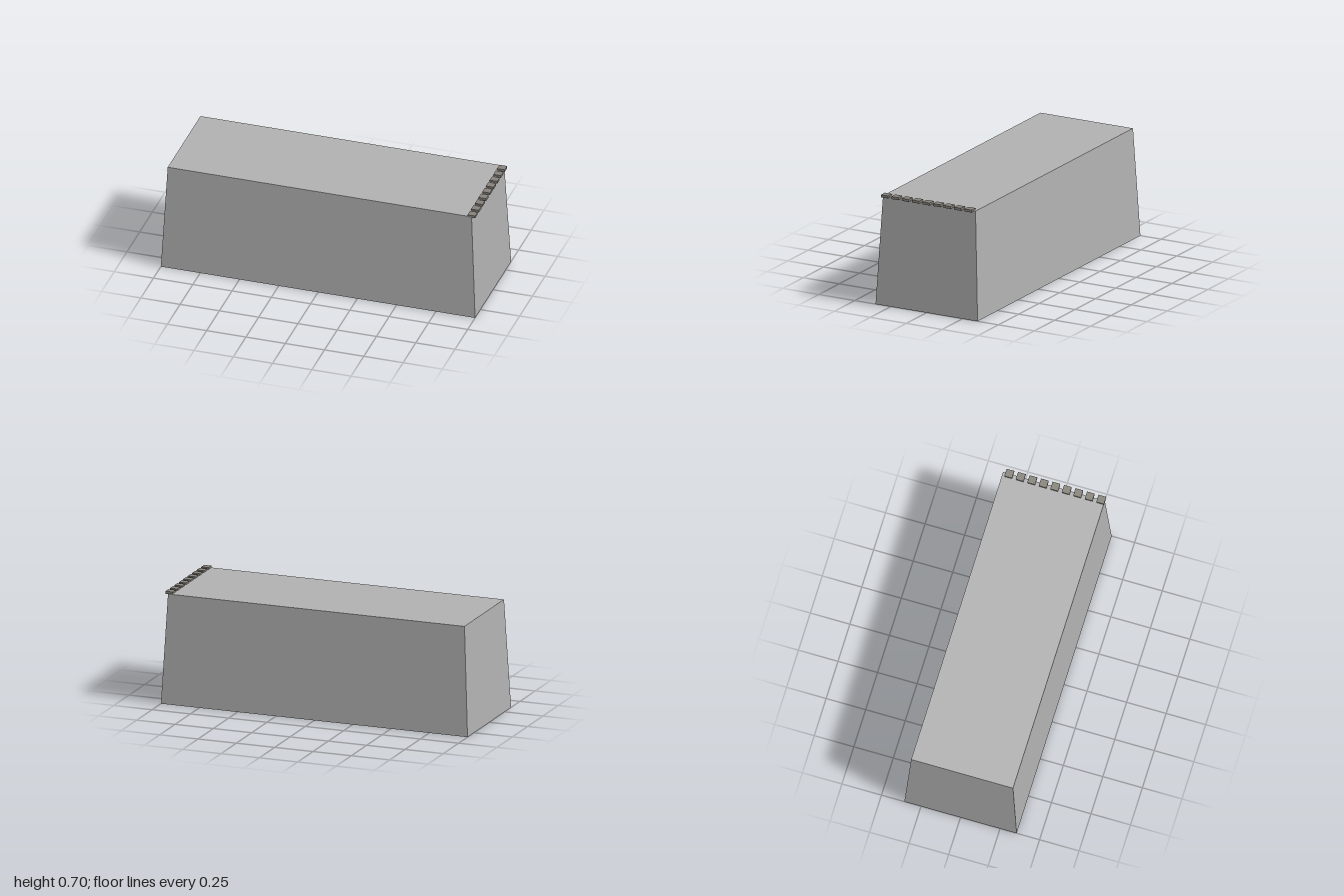
import * as THREE from 'three';

const HEIGHT = 0.685;

// Tapered box without a floor
function taperedShell() {
  const geometry = new THREE.BoxGeometry(2, HEIGHT, 0.71);
  const index = Array.from(geometry.index.array);
  index.splice(18, 6); // remove the bottom face, leaving the shell open
  geometry.setIndex(index);
  geometry.clearGroups();
  const p = geometry.attributes.position;
  for (let i = 0; i < p.count; i++) {
    if (p.getY(i) > 0) {
      p.setX(i, Math.sign(p.getX(i)) * 0.967);
      p.setZ(i, Math.sign(p.getZ(i)) * 0.322);
    }
  }
  geometry.translate(0, HEIGHT / 2, 0);
  geometry.computeVertexNormals();
  return geometry;
}

export function createModel() {
  const wallGrey = new THREE.MeshStandardMaterial({ color: 0xb0b0b0, side: THREE.DoubleSide });
  wallGrey.name = 'wallGrey';
  const blockGrey = new THREE.MeshStandardMaterial({ color: 0x87837b });
  blockGrey.name = 'blockGrey';

  const model = new THREE.Group();
  model.name = 'taperedBlock';

  const shell = new THREE.Mesh(taperedShell(), wallGrey);
  shell.name = 'shell';
  model.add(shell);

  // Row of small blocks along one top edge
  const edgeBlocks = new THREE.Group();
  edgeBlocks.name = 'edgeBlocks';
  const blockGeometry = new THREE.BoxGeometry(0.0485, 0.016, 0.0485);
  for (let i = 0; i < 9; i++) {
    const block = new THREE.Mesh(blockGeometry, blockGrey);
    block.name = `edgeBlock${i + 1}`;
    block.position.set(0.966, 0.688, 0.2995 - i * 0.0727);
    edgeBlocks.add(block);
  }
  model.add(edgeBlocks);

  return model;
}
